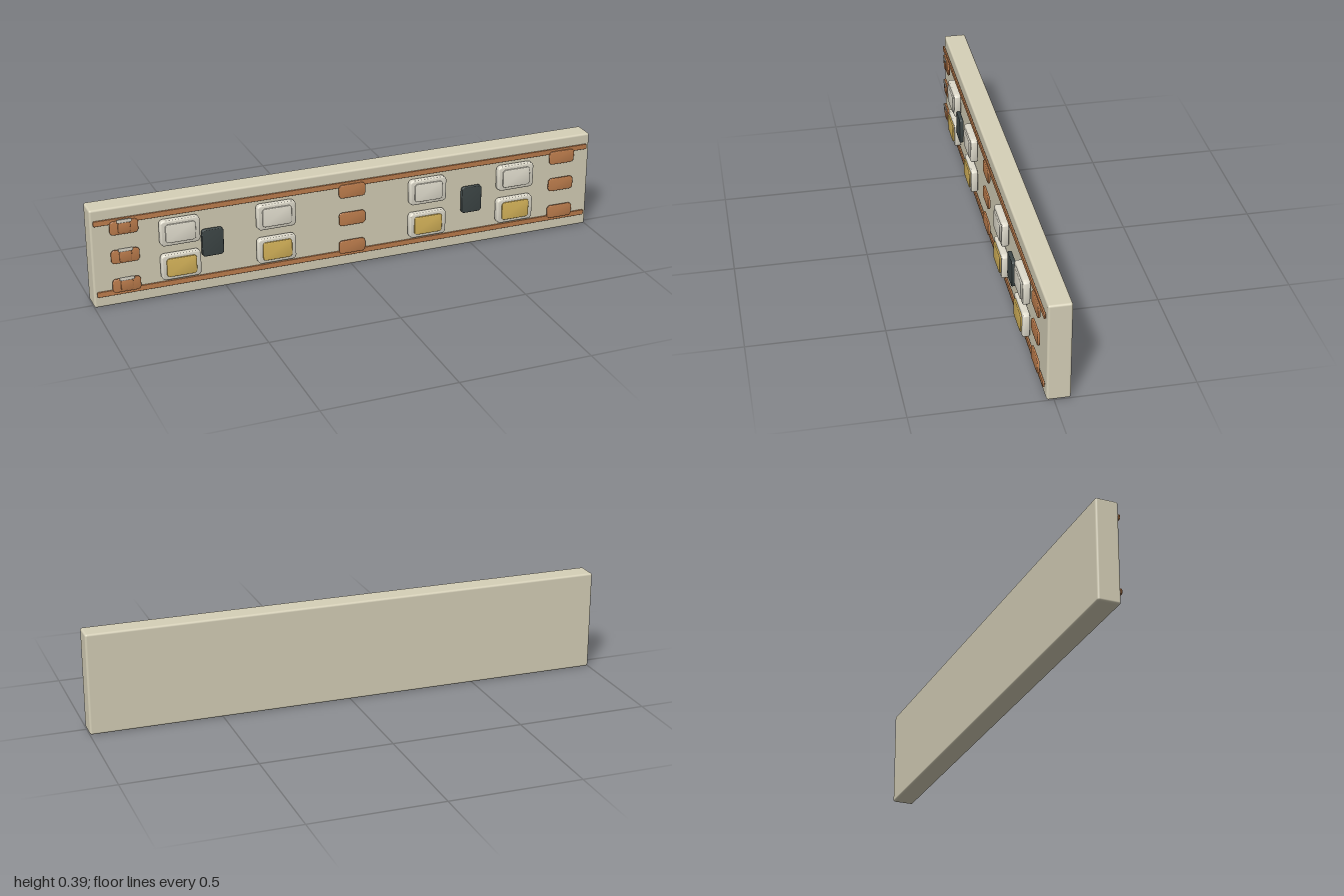
import * as THREE from 'three';
import { toCreasedNormals } from 'three/addons/utils/BufferGeometryUtils.js';
import { RoundedBoxGeometry } from 'three/addons/geometries/RoundedBoxGeometry.js';

const mat = (name, color) => {
  const m = new THREE.MeshStandardMaterial({ color });
  m.name = name;
  return m;
};

// Plate with rounded corners and softened rims, from z0 to z1
function plate(w, h, z0, z1, radius, bevel) {
  const x = w / 2 - bevel, y = h / 2 - bevel, r = Math.max(radius - bevel, 0.001);
  const s = new THREE.Shape();
  s.moveTo(-x + r, -y);
  s.lineTo(x - r, -y);
  s.absarc(x - r, -y + r, r, -Math.PI / 2, 0);
  s.lineTo(x, y - r);
  s.absarc(x - r, y - r, r, 0, Math.PI / 2);
  s.lineTo(-x + r, y);
  s.absarc(-x + r, y - r, r, Math.PI / 2, Math.PI);
  s.lineTo(-x, -y + r);
  s.absarc(-x + r, -y + r, r, Math.PI, Math.PI * 1.5);
  const g = new THREE.ExtrudeGeometry(s, {
    depth: z1 - z0 - 2 * bevel, bevelEnabled: true, bevelSize: bevel,
    bevelThickness: bevel, bevelSegments: 3, curveSegments: 5,
  });
  g.translate(0, 0, z0 + bevel);
  return toCreasedNormals(g, 0.7);
}

export function createModel() {
  const model = new THREE.Group();
  model.name = 'ledStrip';
  const beige = mat('beige board', 0xd6d0b8);
  const copper = mat('copper', 0xc07f4e);
  const ceramic = mat('light housing', 0xdfdbcc);
  const white = mat('cool white lens', 0xe2decf);
  const yellow = mat('warm yellow lens', 0xd6b45a);
  const dark = mat('dark chip', 0x3d4646);

  const add = (name, geometry, material, x, y, z = 0) => {
    const mesh = new THREE.Mesh(geometry, material);
    mesh.name = name;
    mesh.position.set(x, y, z);
    model.add(mesh);
  };

  // Backing board
  add('board', new RoundedBoxGeometry(2, 0.386, 0.085, 3, 0.008), beige, 0, 0.193, -0.0168);

  // Long power rails
  const rail = plate(1.975, 0.021, 0.029, 0.036, 0.005, 0.002);
  for (const y of [0.055, 0.336]) add('powerRail', rail, copper, -0.002, y);

  // Solder pads in three columns, with tinned joints on the left column
  const pad = plate(0.106, 0.053, 0.034, 0.043, 0.014, 0.003);
  const joint = plate(0.046, 0.04, 0.04, 0.047, 0.008, 0.002);
  const tin = plate(0.056, 0.014, 0.046, 0.05, 0.005, 0.0015);
  for (const y of [0.083, 0.198, 0.311]) {
    for (const x of [-0.88, -0.003, 0.874]) add('solderPad', pad, copper, x, y);
    add('solderJoint', joint, copper, -0.88, y);
    add('tinnedTip', tin, ceramic, -0.88, y + 0.028);
  }

  // Two rows of lights: white above, yellow below
  const housing = plate(0.15, 0.1, 0.029, 0.055, 0.016, 0.005);
  const lens = plate(0.114, 0.073, 0.053, 0.061, 0.012, 0.003);
  for (const x of [-0.676, -0.307, 0.302, 0.671]) {
    for (const [y, m] of [[0.264, white], [0.128, yellow]]) {
      add('lightHousing', housing, ceramic, x, y);
      add('lightLens', lens, m, x, y);
    }
  }

  // Control chips
  const chip = plate(0.083, 0.107, 0.035, 0.05, 0.013, 0.003);
  for (const x of [-0.553, 0.487]) add('controlChip', chip, dark, x, 0.198);

  return model;
}
